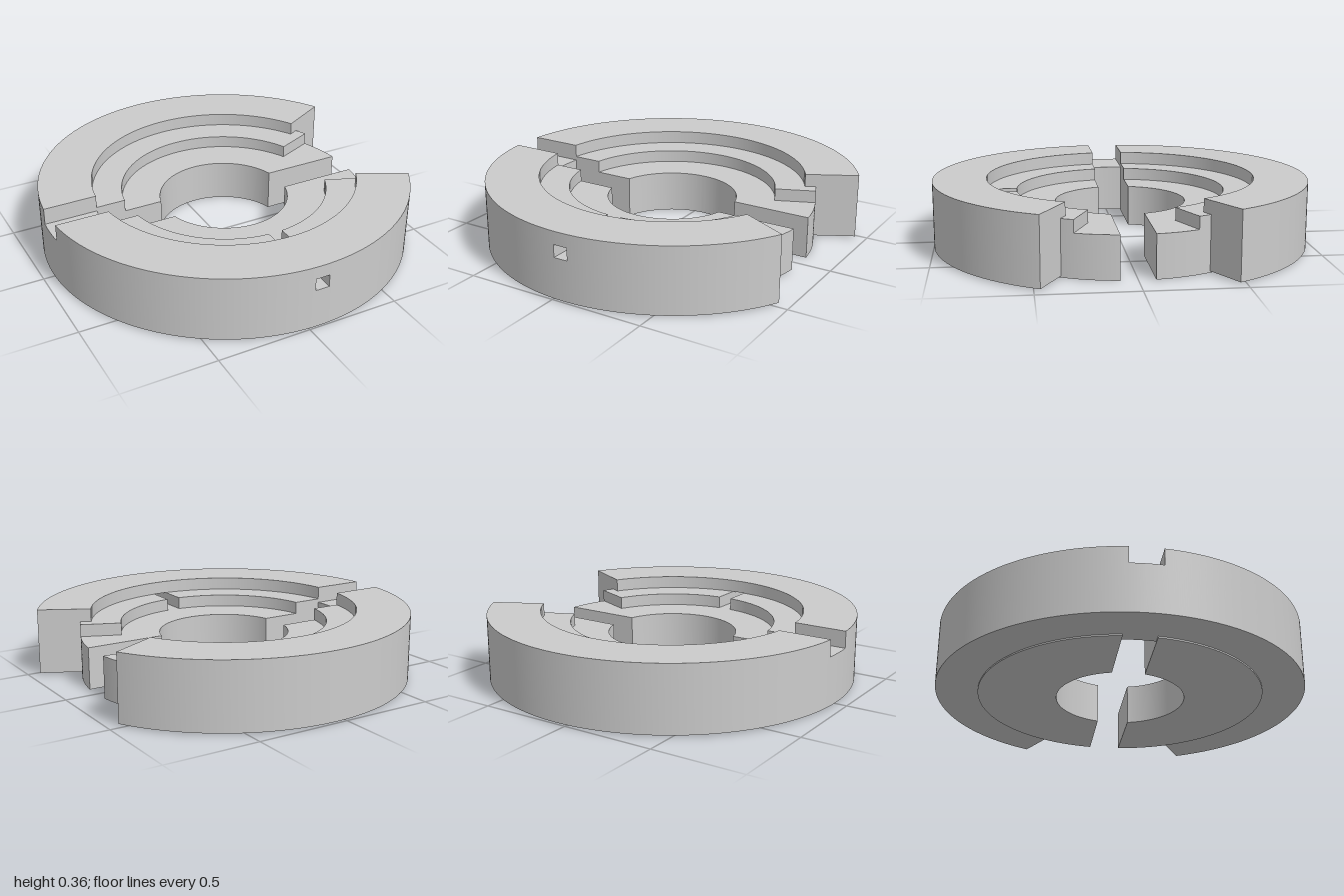
import * as THREE from 'three';
import { toCreasedNormals } from 'three/addons/utils/BufferGeometryUtils.js';

const material = new THREE.MeshStandardMaterial({ color: 0xcccccc });
const rad = THREE.MathUtils.degToRad;

// Ring sector between two edges, seen from above (positive angles run to the back).
// An edge is [degrees, offset]: a radial line shifted sideways by offset,
// which gives slots parallel walls.
function sector(name, r0, r1, from, to, y0, y1) {
  const at = ([deg, offset], r) => rad(deg) + Math.asin(offset / r);
  const shape = new THREE.Shape();
  shape.absarc(0, 0, r1, at(from, r1), at(to, r1), false);
  shape.absarc(0, 0, r0, at(to, r0), at(from, r0), true);
  shape.closePath();
  const geometry = new THREE.ExtrudeGeometry(shape, {
    depth: y1 - y0, bevelEnabled: false, curveSegments: 64,
  });
  geometry.rotateX(-Math.PI / 2);
  geometry.translate(0, y0, 0);
  const mesh = new THREE.Mesh(toCreasedNormals(geometry, 0.4), material);
  mesh.name = name;
  return mesh;
}

export function createModel() {
  const model = new THREE.Group();
  model.name = 'splitRing';
  const add = (...args) => model.add(sector(...args));

  const slot = 0.086, channel = 0.038;         // half widths
  const bore = 0.349, step = 0.556, wall = 0.715, disc = 0.773, rim = 1;
  const base = 0.008, floor = 0.225, ledge = 0.291, bridge = 0.27, top = 0.36;

  // Inner disc, split by the straight slot
  add('innerDiscBack', bore, disc, [0, slot], [180, -slot], 0, floor);
  add('innerDiscFront', bore, disc, [180, slot], [360, -slot], 0, floor);

  // Raised ledge, with a narrow channel at the front
  add('ledgeBack', step, disc, [23, 0], [180, -slot], floor, ledge);
  add('ledgeFrontLeft', step, disc, [270, channel], [337, 0], floor, ledge);
  add('ledgeFrontRight', step, disc, [180, slot], [270, -channel], floor, ledge);

  // Outer rim, open on one side
  add('rimBack', wall, rim, [28, 0], [180, -slot], base, top);
  add('rimFrontRight', wall, rim, [180, slot], [270, -channel], base, top);
  add('rimFrontLeft', wall, rim, [270, channel], [332, 0], base, top);

  // Low bridge below the slot
  add('slotBridge', wall, rim, [180, -slot], [180, slot], base, bridge);

  // Rim below and above the square front hole
  add('holeSill', wall, rim, [270, -channel], [270, channel], base, floor);
  add('holeLintel', wall, rim, [270, -channel], [270, channel], ledge, top);

  model.children.forEach((part) => { part.position.x = 0.058; });
  return model;
}
